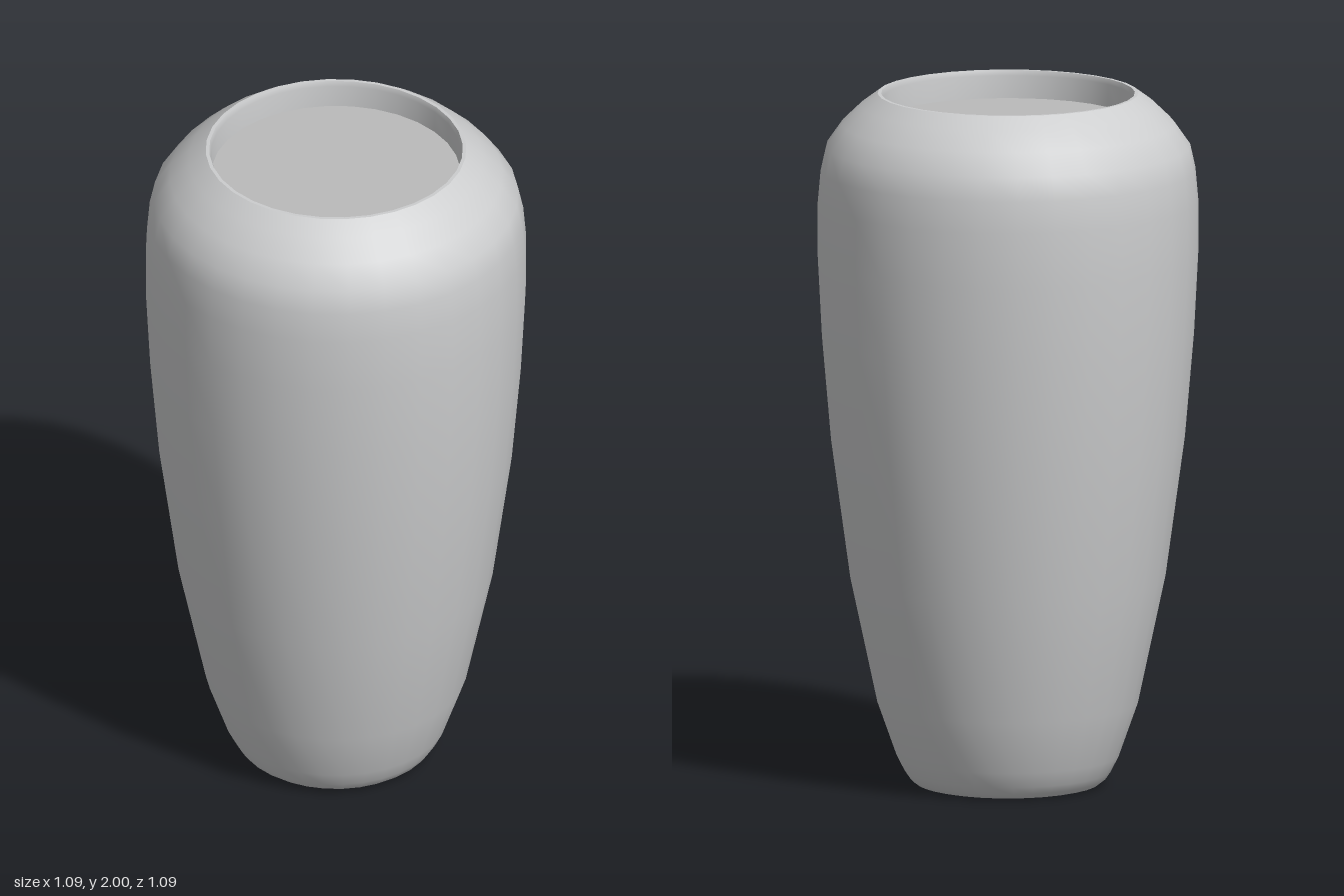
import * as THREE from 'three';

const SIDES = 32;

// Smooth surface of revolution from [radius, height] pairs
function turned(name, profile, material) {
  const points = profile.map(([r, y]) => new THREE.Vector2(r, y));
  const mesh = new THREE.Mesh(new THREE.LatheGeometry(points, SIDES), material);
  mesh.name = name;
  return mesh;
}

export function createModel() {
  const ceramic = new THREE.MeshStandardMaterial({ color: 0xcccdce });
  ceramic.name = 'pale grey ceramic';
  const filling = new THREE.MeshStandardMaterial({ color: 0xbababa });
  filling.name = 'grey filling';

  const vase = new THREE.Group();
  vase.name = 'vase';

  // Outer wall, from the flat base up to the shoulder
  vase.add(turned('body', [
    [0, 0], [0.245, 0], [0.262, 0.004], [0.28, 0.018], [0.295, 0.04], [0.318, 0.085],
    [0.373, 0.24], [0.45, 0.6], [0.505, 1.0], [0.531, 1.3], [0.543, 1.53],
    [0.543, 1.69], [0.535, 1.78], [0.52, 1.848], [0.475, 1.912], [0.42, 1.965], [0.372, 2.0],
  ], ceramic));

  // Narrow lip and the wall inside the mouth
  vase.add(turned('lip', [[0.372, 2.0], [0.362, 2.0]], ceramic));
  vase.add(turned('innerWall', [[0.362, 2.0], [0.357, 1.985], [0.355, 1.915]], ceramic));

  // Flat surface just below the rim
  const surface = new THREE.Mesh(new THREE.CircleGeometry(0.356, SIDES), filling);
  surface.name = 'fillingSurface';
  surface.rotation.x = -Math.PI / 2;
  surface.position.y = 1.92;
  vase.add(surface);

  return vase;
}
